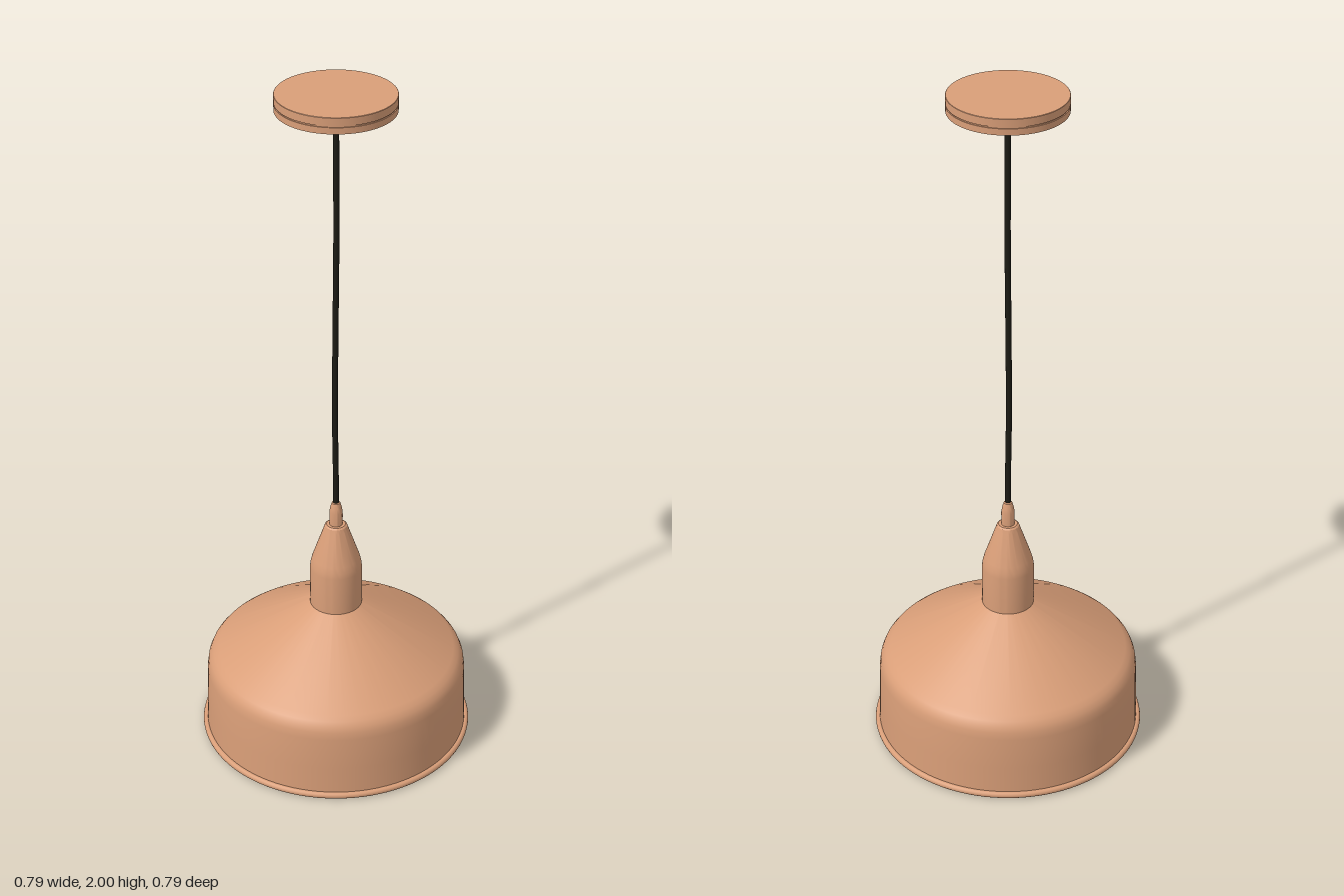
import * as THREE from 'three';
import { toCreasedNormals } from 'three/addons/utils/BufferGeometryUtils.js';

const material = (name, color) => new THREE.MeshStandardMaterial({ name, color });

export function createModel() {
  const copper = material('copper', 0xd99e78);
  const cream = material('cream lining', 0xe2d2a8);
  const black = material('black cord', 0x1c1b14);
  const glass = material('grey glass', 0xaaa4a2);

  const lamp = new THREE.Group();
  lamp.name = 'pendantLamp';

  const add = (name, geometry, mat) => {
    const mesh = new THREE.Mesh(geometry, mat);
    mesh.name = name;
    lamp.add(mesh);
    return mesh;
  };
  // Turned part: [radius, height] pairs, rising along the outside
  const turned = (name, mat, profile, sides = 96) => {
    const points = profile.map(([r, y]) => new THREE.Vector2(r, y));
    return add(name, toCreasedNormals(new THREE.LatheGeometry(points, sides), 0.5), mat);
  };

  // Shade: skirt, rounded shoulder, cone
  turned('shade', copper, [
    [0.383, 0.012], [0.381, 0.1], [0.378, 0.2], [0.375, 0.222], [0.369, 0.237],
    [0.359, 0.25], [0.345, 0.261], [0.075, 0.42],
  ]);
  // Lining runs downwards so it faces inwards
  turned('shadeLining', cream, [
    [0, 0.412], [0.07, 0.412], [0.34, 0.254], [0.354, 0.244], [0.364, 0.232],
    [0.37, 0.218], [0.373, 0.2], [0.376, 0.1], [0.378, 0.008],
  ]);
  const rim = add('shadeRim', new THREE.TorusGeometry(0.386, 0.0095, 12, 96), copper);
  rim.rotation.x = Math.PI / 2;
  rim.position.y = 0.0095;

  // Socket cover and cord grip above the shade
  turned('socketCover', copper, [
    [0.075, 0.415], [0.075, 0.54], [0.073, 0.556], [0.068, 0.575],
    [0.036, 0.668], [0.032, 0.68], [0.027, 0.684], [0, 0.684],
  ], 64);
  turned('lowerCordGrip', copper, [
    [0.019, 0.68], [0.019, 0.725], [0.016, 0.742], [0.012, 0.755], [0.008, 0.757], [0, 0.757],
  ], 32);

  // Bulb and its holder inside the shade
  turned('bulbHolder', copper, [[0, 0.34], [0.045, 0.34], [0.045, 0.415]], 32);
  const bulb = add('bulb', new THREE.SphereGeometry(0.115, 40, 24), glass);
  bulb.position.y = 0.265;

  // Slightly slack cord
  const path = new THREE.CatmullRomCurve3([
    [0, 0.74, 0], [0, 0.85, 0.002], [-0.002, 1.05, 0.004], [-0.001, 1.3, 0.002],
    [0.001, 1.6, 0], [0, 1.92, 0],
  ].map((p) => new THREE.Vector3(...p)));
  add('cord', new THREE.TubeGeometry(path, 48, 0.0085, 12), black);

  // Ceiling rose with a shadow groove, and its cord grip
  turned('ceilingRose', copper, [
    [0, 1.955], [0.162, 1.955], [0.162, 1.973], [0.159, 1.973], [0.159, 1.977],
    [0.162, 1.977], [0.162, 1.999], [0.161, 2], [0, 2],
  ]);
  turned('upperCordGrip', copper, [
    [0, 1.9], [0.016, 1.9], [0.019, 1.906], [0.023, 1.925], [0.023, 1.957],
  ], 32);

  // Small clamping screws
  const screw = (name, x, y, z) => {
    const mesh = add(name, new THREE.CylinderGeometry(0.005, 0.005, 0.012, 16), copper);
    mesh.position.set(x, y, z);
    if (x) mesh.rotation.z = Math.PI / 2;
    else mesh.rotation.x = Math.PI / 2;
  };
  screw('upperScrew', 0, 1.93, -0.022);
  screw('lowerScrew', 0.014, 0.715, 0);

  return lamp;
}
